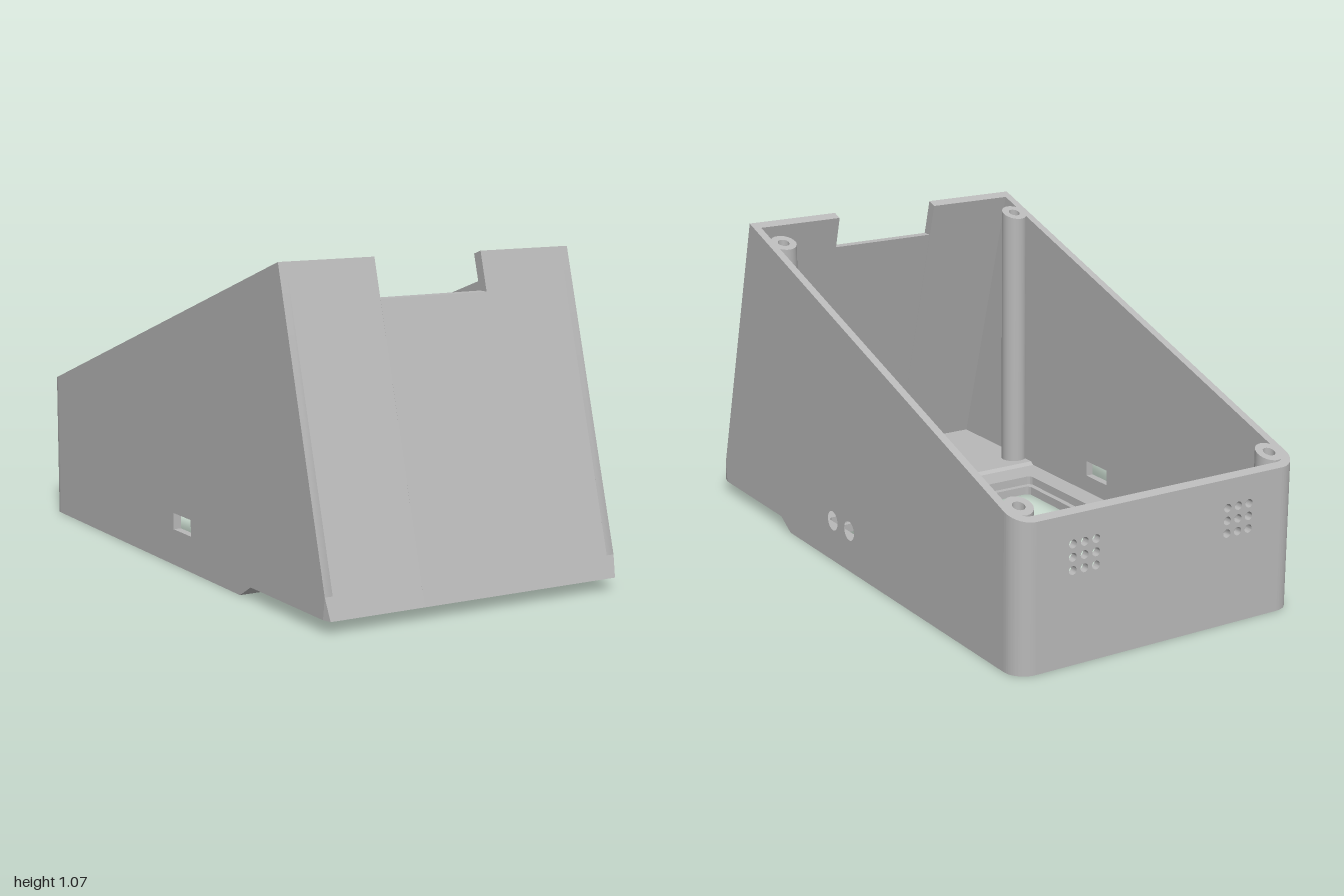
import * as THREE from 'three';
import { toCreasedNormals } from 'three/addons/utils/BufferGeometryUtils.js';

const W = 0.53, IN = 0.503;            // outer and inner half width
const BACK = -1, BACK_IN = -0.972;     // outer and inner face of the back wall
const R = 0.07;                        // rear corner radius
const rimY = z => 1.065 + 0.3398 * (z - 0.707); // sloping rim plane

export function createModel() {
  const group = new THREE.Group();
  const grey = new THREE.MeshStandardMaterial({ color: 0xb8b8b8 });
  grey.name = 'grey plastic';

  const add = (name, geometry) => {
    const mesh = new THREE.Mesh(toCreasedNormals(geometry, 0.5), grey);
    mesh.name = name;
    group.add(mesh);
    return mesh;
  };
  const extrude = (shape, depth) =>
    new THREE.ExtrudeGeometry(shape, { depth, bevelEnabled: false, curveSegments: 12 });
  const circle = (x, y, r) => new THREE.Path().absarc(x, y, r, 0, Math.PI * 2, true);

  // Polygon of [z, y] points extruded across x
  const across = (points, x0, x1, holes = []) => {
    const shape = new THREE.Shape(points.map(([z, y]) => new THREE.Vector2(-z, y)));
    shape.holes.push(...holes);
    return extrude(shape, x1 - x0).rotateY(Math.PI / 2).translate(x0, 0, 0);
  };
  // Plan shape (x, -z) extruded upwards
  const upward = (shape, y0, y1) =>
    extrude(shape, y1 - y0).rotateX(-Math.PI / 2).translate(0, y0, 0);
  // Move all vertices above a height onto the sloping rim
  const cutToRim = (geometry, above) => {
    const p = geometry.attributes.position;
    for (let i = 0; i < p.count; i++) if (p.getY(i) > above) p.setY(i, rimY(p.getZ(i)));
    return geometry;
  };
  // Rounded rectangle in plan, r0 at the front corners and r1 at the rear
  const roundRect = (PathType, hw, zBack, zFront, r0, r1) => {
    const a = -zFront, b = -zBack, path = new PathType();
    path.moveTo(-hw + r0, a);
    path.lineTo(hw - r0, a);
    if (r0) path.absarc(hw - r0, a + r0, r0, -Math.PI / 2, 0);
    path.lineTo(hw, b - r1);
    path.absarc(hw - r1, b - r1, r1, 0, Math.PI / 2);
    path.lineTo(-hw + r1, b);
    path.absarc(-hw + r1, b - r1, r1, Math.PI / 2, Math.PI);
    path.lineTo(-hw, a + r0);
    if (r0) path.absarc(-hw + r0, a + r0, r0, Math.PI, Math.PI * 1.5);
    return path;
  };

  // Side walls: two round ports on the left, a rectangular slot on the right
  const sideProfile = [[0.97, 0.04], [0.98, 0.11], [0.707, 1.065],
    [BACK + R, rimY(BACK + R)], [BACK + R, 0], [0.46, 0], [0.53, 0.04]];
  const ports = [0.14, 0.025].map(z => circle(-z, 0.145, 0.034));
  const slot = new THREE.Path([[0, 0.12], [0, 0.175], [-0.125, 0.175], [-0.125, 0.12]]
    .map(([x, y]) => new THREE.Vector2(x, y)));
  add('leftWall', across(sideProfile, IN, W, ports));
  add('rightWall', across(sideProfile, -W, -IN, [slot]));

  for (const s of [-1, 1]) {
    // Slightly rounded lower front tip of each side wall
    const tip = across([[1, 0.04], [0.98, 0.11], [0.97, 0.04]],
      s > 0 ? IN : -W, s > 0 ? W : -IN);
    const p = tip.attributes.position;
    for (let i = 0; i < p.count; i++)
      if (p.getZ(i) > 0.99 && Math.abs(p.getX(i)) > 0.52) p.setX(i, s * (W - 0.008));
    add('frontTip', tip);

    // Rounded rear corner
    const a0 = s > 0 ? 0 : Math.PI / 2, a1 = a0 + Math.PI / 2;
    const cx = s * (W - R), cy = -BACK - R;
    const ring = new THREE.Shape();
    ring.absarc(cx, cy, R, a0, a1, false);
    ring.absarc(cx, cy, R - 0.028, a1, a0, true);
    add('rearCorner', cutToRim(upward(ring, 0, 0.4), 0.2));

    // Screw posts rising to the rim
    for (const [name, z] of [['rearPost', -0.92], ['frontPost', 0.565]]) {
      const post = new THREE.Shape().absarc(s * 0.472, -z, 0.045, 0, Math.PI * 2, false);
      post.holes.push(circle(s * 0.472, -z, 0.02));
      add(name, cutToRim(upward(post, 0.05, 0.4), 0.2));
    }

    // Front wall on either side of the notch
    add('frontWall', across([[1, 0.04], [0.707, 1.065], [0.672, rimY(0.672)], [0.964, 0.04]],
      s > 0 ? 0.195 : -IN, s > 0 ? IN : -0.195));
  }
  // Lower front wall under the notch
  add('frontWallCentre', across([[1, 0.04], [0.743, 0.94], [0.707, 0.94], [0.964, 0.04]],
    -0.195, 0.195));

  // Back wall with two 3 x 3 vent grids
  const bw = W - R;
  const back = new THREE.Shape([[-bw, 0], [bw, 0], [bw, 0.485], [-bw, 0.485]]
    .map(([x, y]) => new THREE.Vector2(x, y)));
  for (const cx of [-0.29, 0.29])
    for (let i = -1; i <= 1; i++)
      for (let j = -1; j <= 1; j++)
        back.holes.push(circle(cx + i * 0.042, 0.348 + j * 0.042, 0.014));
  add('backWall', cutToRim(extrude(back, BACK_IN - BACK).translate(0, 0, BACK), 0.45));

  // Floor with a stepped window opening
  for (const [name, y0, y1, grow] of [['windowLip', 0, 0.03, 0], ['windowRecess', 0.03, 0.06, 0.02]]) {
    const floor = roundRect(THREE.Shape, IN, BACK_IN, 0.46, 0, 0.042);
    floor.holes.push(roundRect(THREE.Path, 0.405 + grow, -0.89 - grow, 0.355 + grow, 0.02, 0.02));
    add(name, upward(floor, y0, y1));
  }
  // Raised front floor with its ramp
  add('frontFloor', across([[0.46, 0], [0.53, 0.04], [0.97, 0.04], [0.96, 0.07],
    [0.49, 0.07], [0.475, 0.06], [0.46, 0.06]], -IN, IN));

  return group;
}
